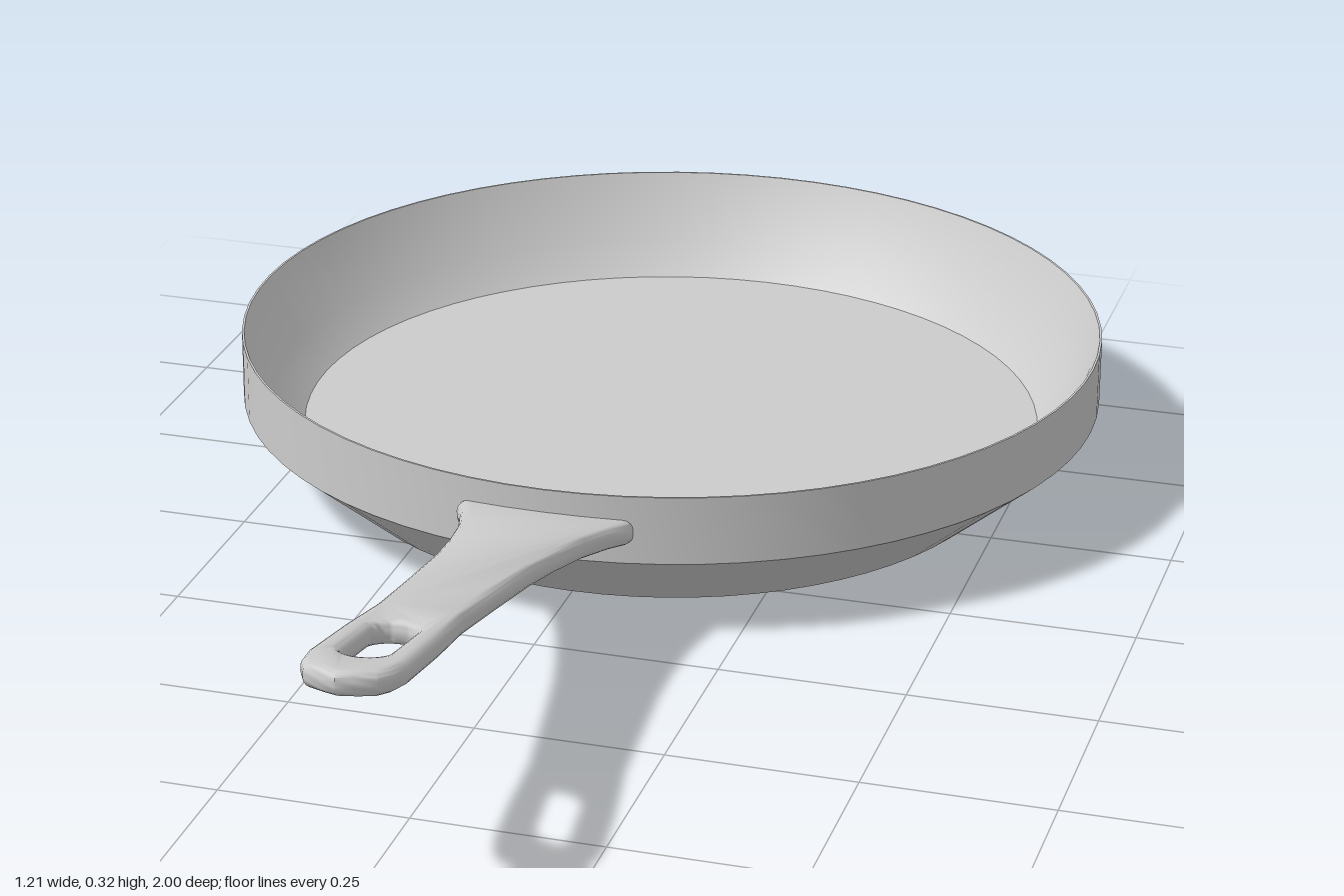
import * as THREE from 'three';
import { toCreasedNormals } from 'three/addons/utils/BufferGeometryUtils.js';

const PAN_Z = -0.395;
const steel = new THREE.MeshStandardMaterial({ color: 0xcccccc });
steel.name = 'light grey metal';

// Closed profile: base, flared side, upright band, rim, inner wall, floor
function makePan() {
  const profile = [
    [0, 0], [0.475, 0], [0.605, 0.11], [0.605, 0.205],
    [0.602, 0.205], [0.562, 0.112], [0.52, 0.066], [0, 0.066],
  ].map(([r, y]) => new THREE.Vector2(r, y));
  const geometry = toCreasedNormals(new THREE.LatheGeometry(profile, 72), 0.35);
  const pan = new THREE.Mesh(geometry, steel);
  pan.name = 'panBody';
  pan.position.z = PAN_Z;
  return pan;
}

// Flared flat bar with rounded edges and a hanging slot, sloping up to the tip
function makeHandle() {
  const flare = [[0.118, 0.21], [0.104, 0.24], [0.086, 0.30], [0.073, 0.38], [0.065, 0.46], [0.06, 0.58], [0.056, 0.70]];
  const tip = [[0.061, 0.80], [0.063, 0.92], [0.058, 0.955], [0.046, 0.98], [0.022, 0.992]];
  const side = [[0.122, 0.167], ...flare, ...tip];
  const left = side.map(([x, z]) => new THREE.Vector2(x, z));
  const right = side.map(([x, z]) => new THREE.Vector2(-x, z)).reverse();
  const outline = new THREE.Shape([...left, new THREE.Vector2(0, 1), ...right]);

  const slot = new THREE.Path();
  slot.absarc(0, 0.80, 0.028, Math.PI, Math.PI * 2, false);
  slot.absarc(0, 0.893, 0.028, 0, Math.PI, false);
  slot.closePath();
  outline.holes.push(slot);

  const bevel = 0.013;
  const bar = new THREE.ExtrudeGeometry(outline, {
    depth: 0.008, curveSegments: 10,
    bevelEnabled: true, bevelSize: bevel, bevelThickness: bevel, bevelOffset: -bevel, bevelSegments: 4,
  });
  bar.translate(0, 0, -0.004).rotateX(Math.PI / 2);

  // Shear the bar upwards along its length
  const p = bar.attributes.position;
  for (let i = 0; i < p.count; i++) {
    p.setY(i, p.getY(i) + 0.158 + 0.183 * (p.getZ(i) - 0.22));
  }
  const handle = new THREE.Mesh(toCreasedNormals(bar, 0.7), steel);
  handle.name = 'handle';
  return handle;
}

export function createModel() {
  const group = new THREE.Group();
  group.name = 'fryingPan';
  group.add(makePan(), makeHandle());
  return group;
}
